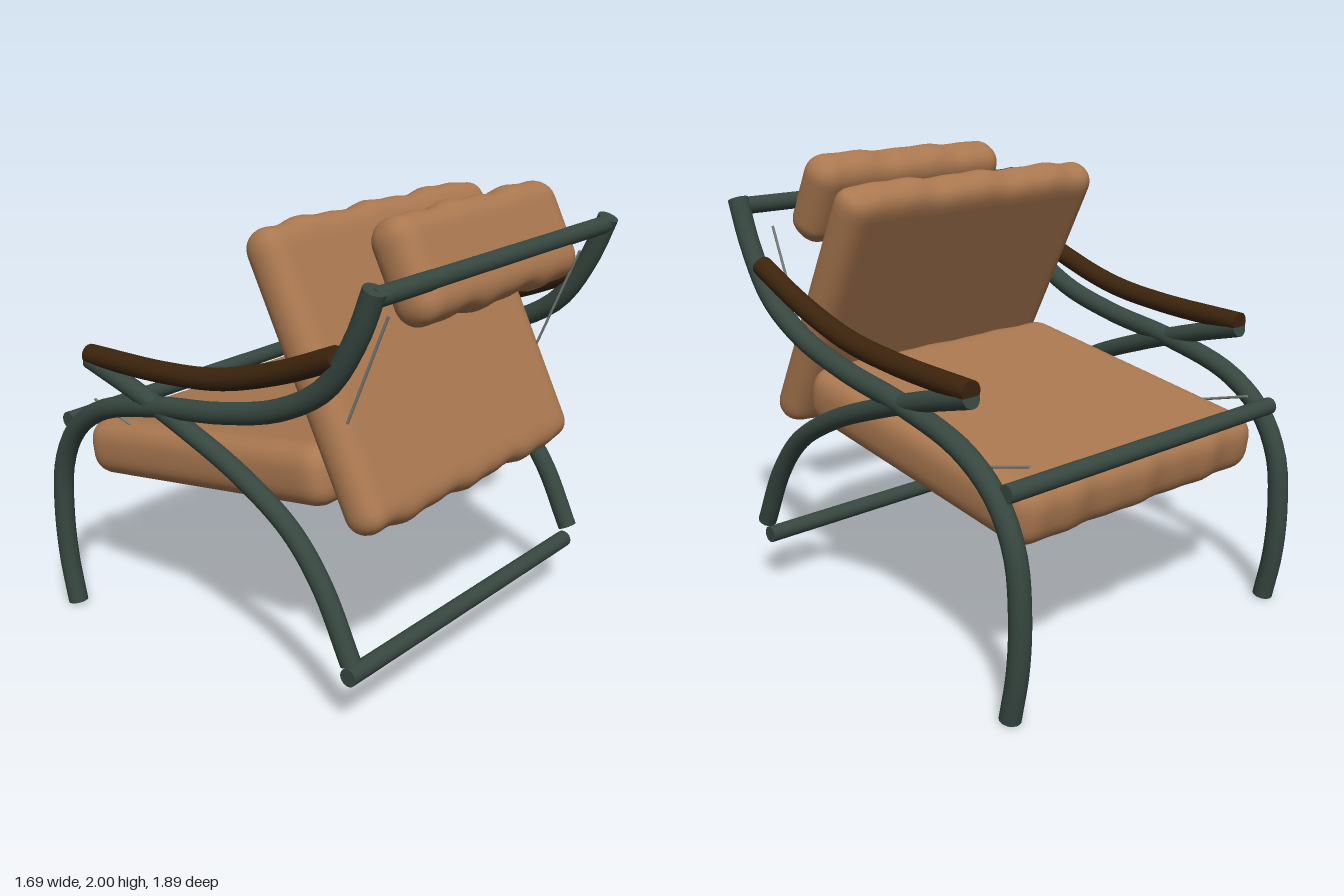
import * as THREE from 'three';
import { mergeVertices } from 'three/addons/utils/BufferGeometryUtils.js';

export function createModel() {
  const model = new THREE.Group();
  model.name = 'loungeChair';
  const material = (name, color) => {
    const m = new THREE.MeshStandardMaterial({ color });
    m.name = name;
    return m;
  };
  const leather = material('tan leather', 0xaa7850);
  const steel = material('dark green steel', 0x374740);
  const wood = material('dark wood', 0x3c240d);
  const wire = material('grey wire', 0x7c7f78);

  const add = (name, geometry, mat, parent = model) => {
    const mesh = new THREE.Mesh(geometry, mat);
    mesh.name = name;
    parent.add(mesh);
    return mesh;
  };

  // Round tube through [z, y] points at a fixed x, closed with end discs
  const tube = (name, x, points, radius, mat) => {
    const group = new THREE.Group();
    group.name = name;
    model.add(group);
    const curve = new THREE.CatmullRomCurve3(points.map(([z, y]) => new THREE.Vector3(x, y, z)));
    add(name + 'Tube', new THREE.TubeGeometry(curve, 48, radius, 18), mat, group);
    for (const t of [0, 1]) {
      const cap = add(name + 'Cap', new THREE.CircleGeometry(radius, 18), mat, group);
      cap.position.copy(curve.getPoint(t));
      const outward = curve.getTangent(t).multiplyScalar(t ? 1 : -1);
      cap.quaternion.setFromUnitVectors(new THREE.Vector3(0, 0, 1), outward);
    }
  };

  // Straight rod between two points
  const rod = (name, a, b, radius, mat, sides = 18) => {
    const from = new THREE.Vector3(...a), to = new THREE.Vector3(...b);
    const dir = to.clone().sub(from);
    const mesh = add(name, new THREE.CylinderGeometry(radius, radius, dir.length(), sides), mat);
    mesh.position.copy(from).add(to).multiplyScalar(0.5);
    mesh.quaternion.setFromUnitVectors(new THREE.Vector3(0, 1, 0), dir.normalize());
  };

  // Soft slab: a box rounded by a radius, with gently puckered end edges
  const cushion = (name, width, length, thickness, radius, y, z, tilt, phase) => {
    let geo = new THREE.BoxGeometry(width, length, thickness, 44, 30, 12);
    geo.deleteAttribute('uv');
    geo.deleteAttribute('normal');
    geo = mergeVertices(geo);
    const half = new THREE.Vector3(width, length, thickness).multiplyScalar(0.5);
    const inner = half.clone().subScalar(radius);
    const p = geo.attributes.position;
    const v = new THREE.Vector3(), core = new THREE.Vector3();
    // Crowd the grid lines toward the rounded edges
    const spread = (c, h) => h * Math.sin((c / h) * Math.PI / 2);
    for (let i = 0; i < p.count; i++) {
      v.fromBufferAttribute(p, i);
      v.set(spread(v.x, half.x), spread(v.y, half.y), spread(v.z, half.z));
      core.copy(v).clamp(inner.clone().negate(), inner);
      v.sub(core).setLength(radius).add(core);
      const edge = Math.pow(Math.abs(v.y) / half.y, 6);
      const wave = Math.sin(v.x * 15 + phase) * 0.6 + Math.sin(v.x * 31 + phase * 2) * 0.4;
      v.y += Math.sign(v.y) * edge * 0.012 * wave;
      p.setXYZ(i, v.x, v.y, v.z);
    }
    geo.computeVertexNormals();
    const mesh = add(name, geo, leather);
    mesh.position.set(0, y, z);
    mesh.rotation.x = tilt;
  };

  cushion('seatCushion', 1.44, 1.43, 0.26, 0.1, 0.877, -0.115, Math.PI / 2 - 0.16, 0.5);
  cushion('backCushion', 1.44, 1.24, 0.185, 0.088, 1.363, 0.513, -0.475, 1.7);
  cushion('headrestCushion', 1.08, 0.42, 0.21, 0.095, 1.8, 0.79, -0.475, 3.1);

  // Crossing side frames, armrests and suspension wires
  for (const [side, s] of [['left', 1], ['right', -1]]) {
    const x = 0.8 * s;
    tube(side + 'LongFrame', x, [
      [0.907, 1.82], [0.83, 1.63], [0.69, 1.42], [0.46, 1.28], [0.14, 1.19], [-0.22, 1.13],
      [-0.58, 1.03], [-0.77, 0.89], [-0.87, 0.7], [-0.897, 0.46], [-0.885, 0.23], [-0.843, 0.015],
    ], 0.045, steel);
    tube(side + 'ShortFrame', x, [
      [0.815, 0.335], [0.67, 0.615], [0.51, 0.8], [0.25, 0.955], [-0.07, 1.08],
      [-0.34, 1.167], [-0.635, 1.247],
    ], 0.042, steel);
    tube(side + 'Armrest', x, [
      [0.74, 1.545], [0.46, 1.427], [0.14, 1.33], [-0.18, 1.289], [-0.635, 1.27],
    ], 0.046, wood);
    rod(side + 'BackWire', [0.66 * s, 1.24, 0.675], [0.66 * s, 1.69, 0.86], 0.006, wire, 8);
    rod(side + 'SeatWire', [0.66 * s, 0.925, -0.56], [0.66 * s, 0.99, -0.8], 0.006, wire, 8);
  }

  // Crossbars joining the two sides
  for (const [name, y, z] of [
    ['topCrossbar', 1.788, 0.9], ['bottomCrossbar', 0.265, 0.8], ['seatCrossbar', 0.923, -0.82],
  ]) rod(name, [-0.8, y, z], [0.8, y, z], 0.038, steel);

  return model;
}
